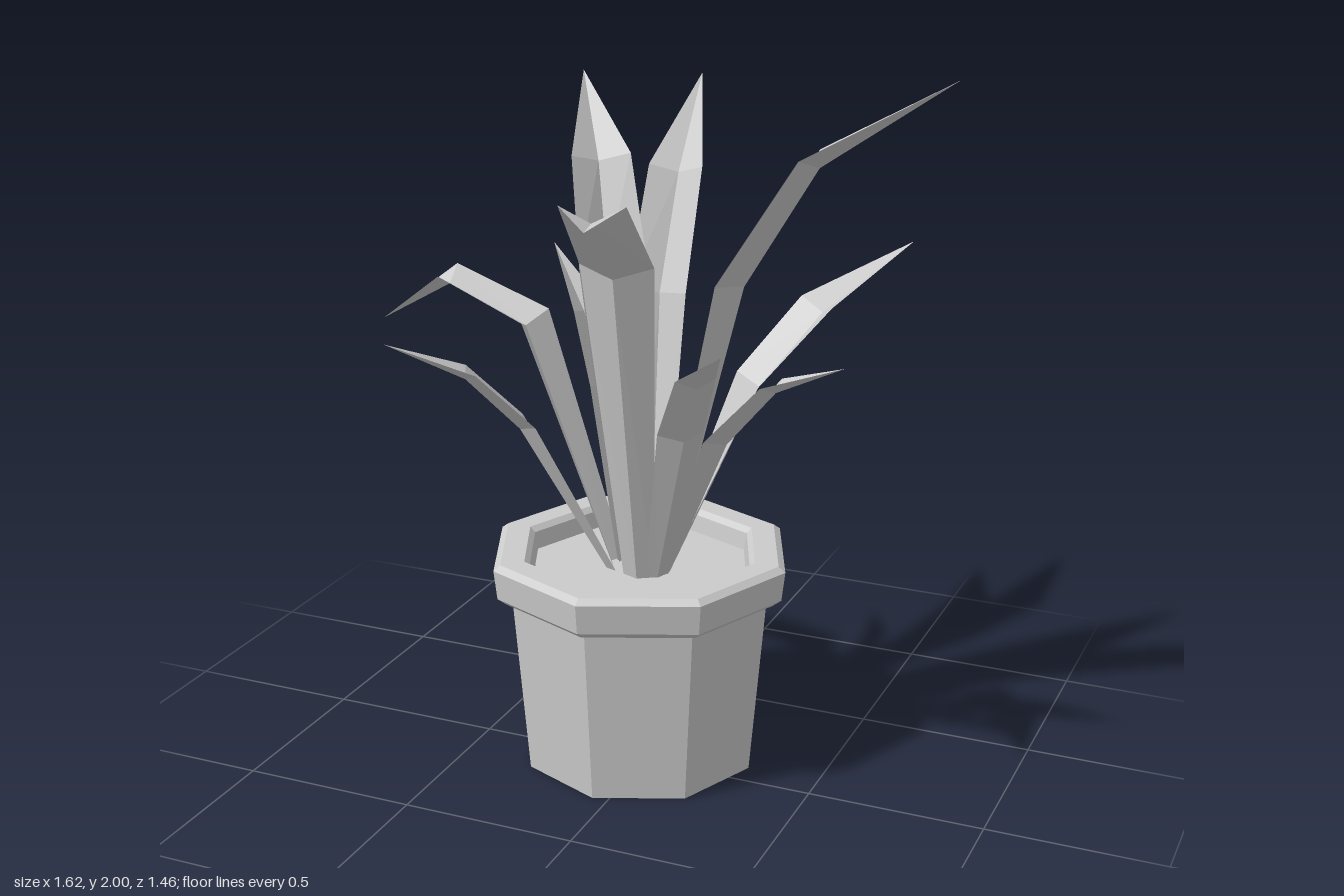
import * as THREE from 'three';

const CX = -0.045, CZ = -0.075; // pot axis

const solid = new THREE.MeshStandardMaterial({ color: 0xcccccc, flatShading: true });
const thin = new THREE.MeshStandardMaterial({ color: 0xcccccc, flatShading: true, side: THREE.DoubleSide });

// Eight-sided turned part, profile given as [radius, y] pairs
function turned(name, profile) {
  const geo = new THREE.LatheGeometry(profile.map(([r, y]) => new THREE.Vector2(r, y)), 8);
  const mesh = new THREE.Mesh(geo, solid);
  mesh.name = name;
  mesh.position.set(CX, 0, CZ);
  return mesh;
}

// Folded blade: a gutter-shaped strip through base, two bends and a tip
function leaf(name, points, widths) {
  const pts = points.map((p) => new THREE.Vector3(...p));
  const tip = pts[3];
  const rows = pts.map((p, i) => {
    const prev = pts[Math.max(i - 1, 0)], next = pts[Math.min(i + 1, 3)];
    const tangent = next.clone().sub(p).normalize().add(p.clone().sub(prev).normalize()).normalize();
    const side = new THREE.Vector3(next.z - prev.z, 0, prev.x - next.x).normalize();
    const under = new THREE.Vector3().crossVectors(side, tangent).normalize();
    if (under.y > 0) under.negate();
    const w = widths[i];
    return [
      p.clone().addScaledVector(side, w),
      p.clone().addScaledVector(under, w * 0.5),
      p.clone().addScaledVector(side, -w),
    ];
  });
  const verts = [];
  const tri = (...c) => c.forEach((v) => verts.push(v.x, v.y, v.z));
  for (let i = 0; i < 3; i++) {
    for (let k = 0; k < 2; k++) {
      const a = rows[i][k], b = rows[i][k + 1];
      if (i === 2) tri(a, b, tip);
      else {
        const c = rows[i + 1][k + 1], d = rows[i + 1][k];
        tri(a, b, c);
        tri(a, c, d);
      }
    }
  }
  const geo = new THREE.BufferGeometry();
  geo.setAttribute('position', new THREE.Float32BufferAttribute(verts, 3));
  geo.computeVertexNormals();
  const mesh = new THREE.Mesh(geo, thin);
  mesh.name = name;
  return mesh;
}

export function createModel() {
  const plant = new THREE.Group();
  plant.name = 'pottedPlant';

  // Tapered pot, overhanging rim with chamfers, soil
  plant.add(turned('pot', [[0, 0], [0.337, 0], [0.382, 0.53]]));
  plant.add(turned('rim', [
    [0.37, 0.515], [0.4, 0.515], [0.425, 0.535], [0.435, 0.62], [0.415, 0.635],
    [0.345, 0.635], [0.33, 0.62], [0.32, 0.56],
  ]));
  plant.add(turned('soil', [[0.325, 0.57], [0, 0.57]]));

  const wide = [0.045, 0.1, 0.085, 0];
  const medium = [0.04, 0.085, 0.078, 0];
  const narrow = [0.03, 0.065, 0.055, 0];

  // Leaves: base, lower bend, upper bend, tip
  const foliage = new THREE.Group();
  foliage.name = 'foliage';
  foliage.add(
    leaf('rightTallLeaf', [[0.01, 0.56, -0.095], [0.2, 1.43, -0.1], [0.42, 1.78, -0.1], [0.81, 2, -0.1]], wide),
    leaf('backCornerLeaf', [[0.01, 0.56, -0.13], [0.2, 1.1, -0.26], [0.345, 1.3, -0.415], [0.54, 1.43, -0.69]], medium),
    leaf('backTallLeaf', [[-0.04, 0.56, -0.13], [-0.08, 1.32, -0.27], [-0.085, 1.65, -0.42], [-0.13, 1.86, -0.73]], medium),
    leaf('backLeftTallLeaf', [[-0.08, 0.56, -0.11], [-0.18, 1.4, -0.2], [-0.26, 1.69, -0.3], [-0.395, 1.89, -0.48]], wide),
    leaf('leftDroopingLeaf', [[-0.11, 0.56, -0.08], [-0.36, 1.27, -0.07], [-0.64, 1.37, -0.085], [-0.81, 1.23, -0.01]], medium),
    leaf('frontLeftLeaf', [[-0.11, 0.56, -0.04], [-0.29, 1.03, 0.12], [-0.41, 1.19, 0.225], [-0.585, 1.285, 0.38]], narrow),
    leaf('frontTallLeaf', [[-0.02, 0.56, -0.01], [0, 1.51, 0.18], [0.055, 1.73, 0.45], [0.16, 1.735, 0.725]], wide),
    leaf('frontRightLeaf', [[0.02, 0.56, -0.03], [0.16, 1.06, 0.13], [0.245, 1.25, 0.24], [0.365, 1.36, 0.375]], narrow),
    leaf('rightLowLeaf', [[0.03, 0.56, -0.06], [0.22, 1.02, 0.01], [0.38, 1.2, 0.045], [0.595, 1.28, 0.09]], narrow),
    leaf('backLeftSmallLeaf', [[-0.1, 0.56, -0.11], [-0.18, 1.07, -0.17], [-0.26, 1.27, -0.21], [-0.4, 1.43, -0.28]], narrow),
  );
  plant.add(foliage);
  return plant;
}
